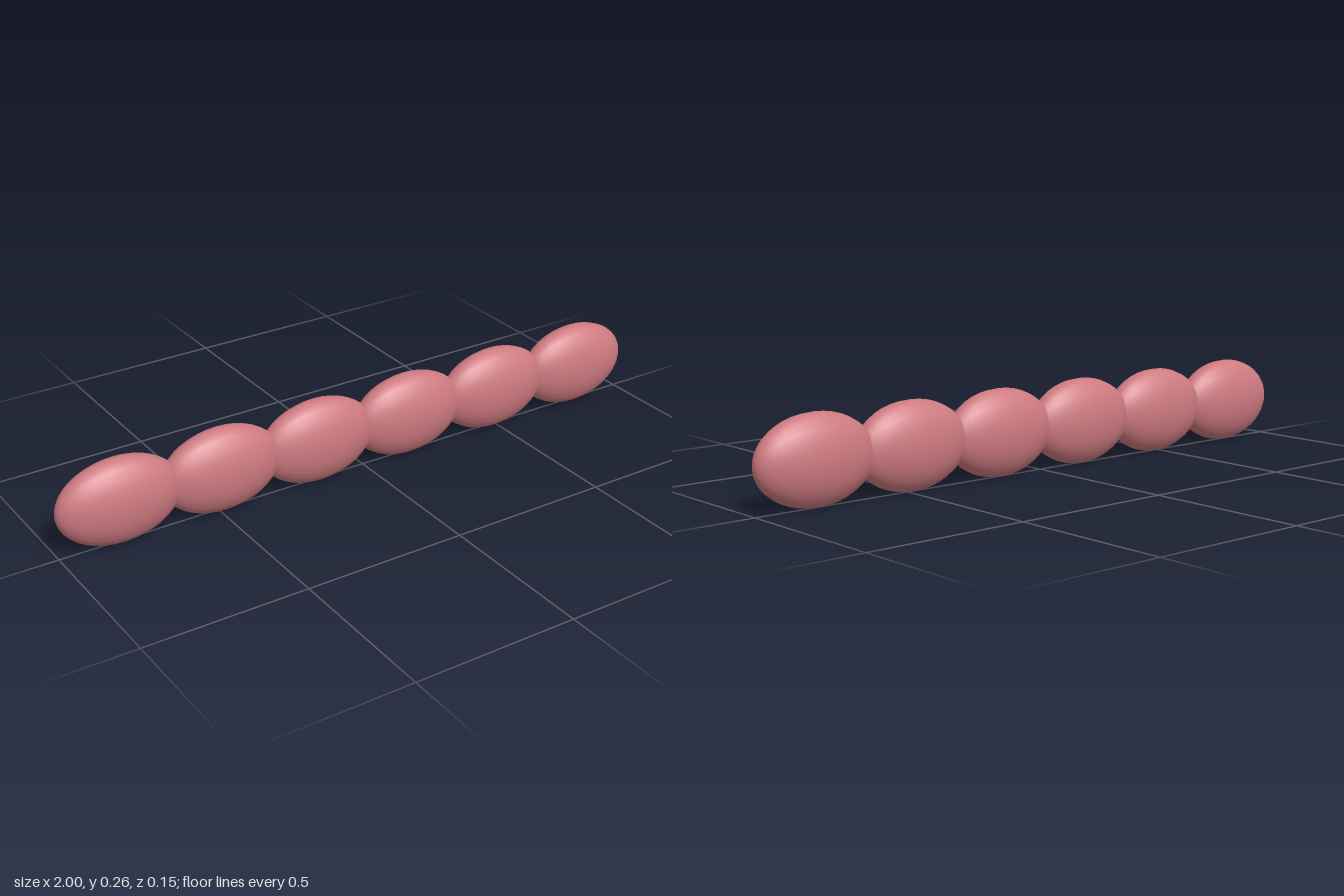
import * as THREE from 'three';

export function createModel() {
  const group = new THREE.Group();
  group.name = 'beadChain';
  const rose = new THREE.MeshStandardMaterial({ color: 0xcd7a80 });
  rose.name = 'rose';

  // One flattened bead, its poles on the chain's long axis
  const radius = { x: 0.192, y: 0.132, z: 0.075 };
  const bead = new THREE.SphereGeometry(1, 24, 20);
  bead.rotateZ(Math.PI / 2);
  bead.scale(radius.x, radius.y, radius.z);

  // Six overlapping beads in a straight row
  const count = 6;
  const spacing = (2 - 2 * radius.x) / (count - 1);
  for (let i = 0; i < count; i++) {
    const mesh = new THREE.Mesh(bead, rose);
    mesh.name = `bead${i + 1}`;
    mesh.position.set((i - (count - 1) / 2) * spacing, radius.y, 0);
    group.add(mesh);
  }
  return group;
}
